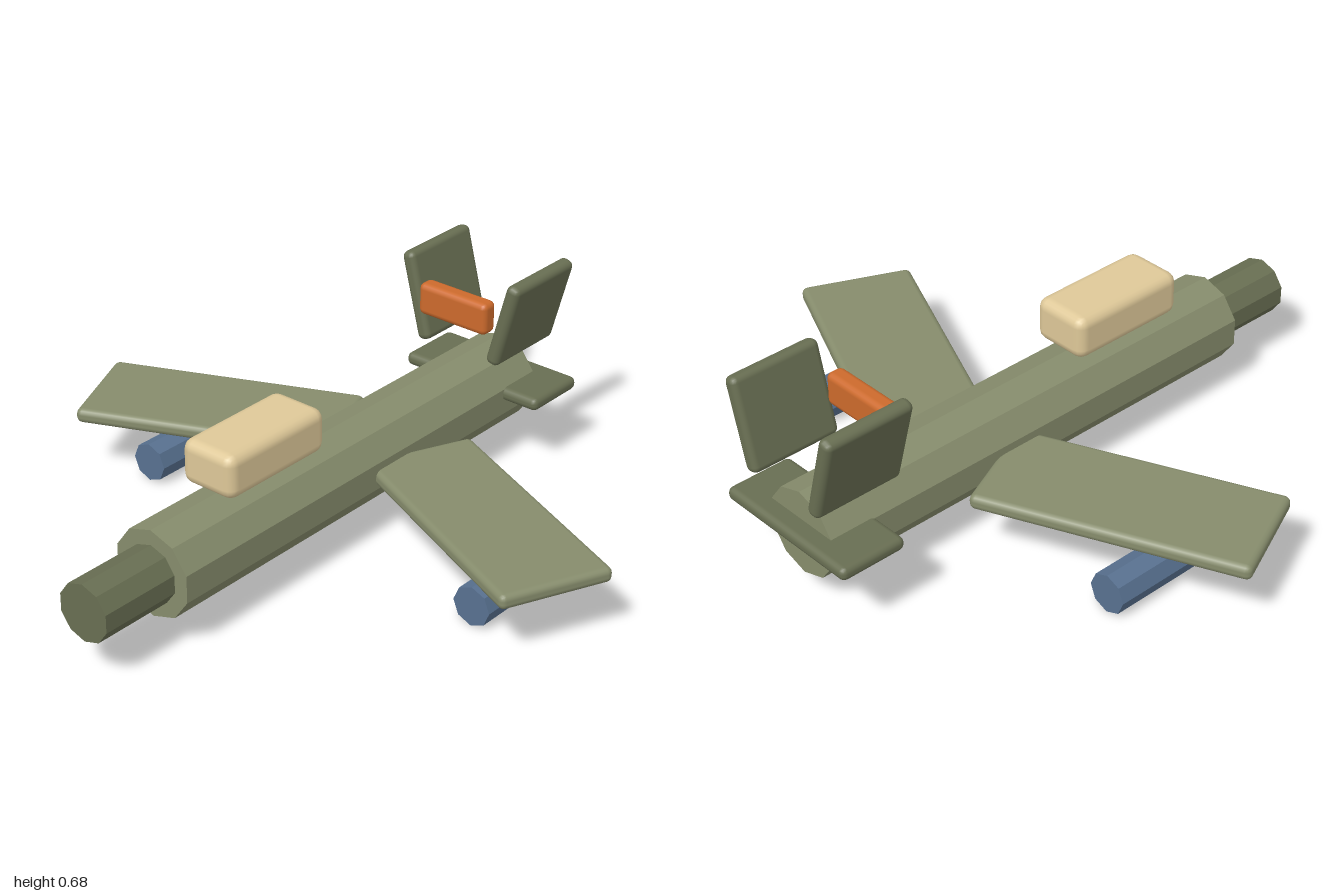
import * as THREE from 'three';
import { RoundedBoxGeometry } from 'three/addons/geometries/RoundedBoxGeometry.js';

const paint = (color, flatShading = false) => new THREE.MeshStandardMaterial({ color, flatShading });

export function createModel() {
  const model = new THREE.Group();
  const olive = paint(0x868c6c);
  const darkOlive = paint(0x686e52);
  const tan = paint(0xdec898);
  const orange = paint(0xcc6a2c);

  function add(name, geometry, material, x, y, z) {
    const mesh = new THREE.Mesh(geometry, material);
    mesh.name = name;
    mesh.position.set(x, y, z);
    model.add(mesh);
    return mesh;
  }

  // Faceted tube lying along z between two depths
  function tube(name, radius, sides, z0, z1, color, x, y) {
    const geometry = new THREE.CylinderGeometry(radius, radius, z1 - z0, sides).rotateX(Math.PI / 2);
    return add(name, geometry, paint(color, true), x, y, (z0 + z1) / 2);
  }

  const slab = (w, h, d, r) => new RoundedBoxGeometry(w, h, d, 2, r);

  // Fuselage and slimmer nose
  tube('fuselage', 0.145, 10, -0.935, 0.725, 0x868c6c, 0, 0.226);
  tube('nose', 0.095, 10, 0.7, 1, 0x686e52, 0, 0.226);

  // Canopy block above the fuselage
  add('canopy', slab(0.202, 0.147, 0.422, 0.035), tan, 0, 0.462, 0.282);

  // Tailplane and the bar between the fins
  add('tailplane', slab(0.535, 0.045, 0.23, 0.02), darkOlive, 0, 0.252, -0.885);
  add('tailBar', slab(0.27, 0.11, 0.062, 0.02), orange, 0, 0.557, -0.688);

  // Mirrored wings, canted fins and underwing pods
  for (const [side, s] of [['left', 1], ['right', -1]]) {
    const wing = add(side + 'Wing', slab(0.868, 0.05, 0.372, 0.02), olive, s * 0.536, 0.22, -0.147);
    wing.rotation.y = -s * 0.419;

    const fin = add(side + 'Fin', slab(0.05, 0.303, 0.31, 0.02), darkOlive, s * 0.174, 0.538, -0.845);
    fin.rotation.z = -s * 0.26;

    tube(side + 'Pod', 0.066, 8, -0.356, 0.069, 0x587190, s * 0.657, 0.068);
  }
  return model;
}
